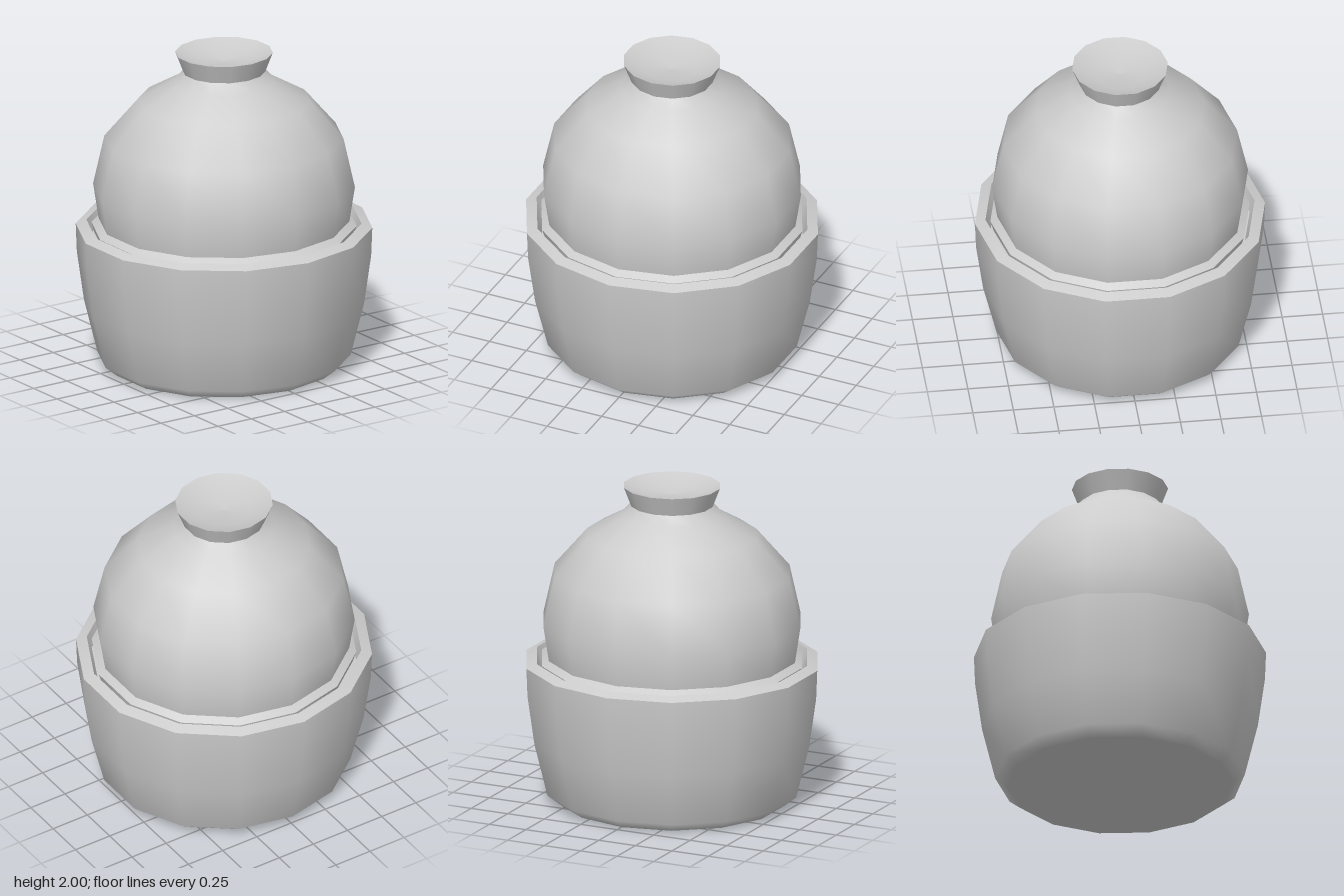
import * as THREE from 'three';

const SIDES = 14;
const Z_STRETCH = 1.026; // makes depth equal width for the 14-sided outline

export function createModel() {
  const model = new THREE.Group();
  model.name = 'liddedJar';
  const clay = new THREE.MeshStandardMaterial({ color: 0xcccccc });
  clay.name = 'plainGrey';

  // Smooth turned band; separate bands meet in a sharp edge
  function turned(parent, name, profile) {
    const points = profile.map(([r, y]) => new THREE.Vector2(r, y));
    const geometry = new THREE.LatheGeometry(points, SIDES, Math.PI / 2);
    geometry.scale(1, 1, Z_STRETCH);
    const mesh = new THREE.Mesh(geometry, clay);
    mesh.name = name;
    parent.add(mesh);
  }

  // Bowl: slightly hollow foot, swelling wall, bevelled rim and inner ledge
  const bowl = new THREE.Group();
  bowl.name = 'bowl';
  turned(bowl, 'bowlWall', [
    [0, 0.03], [0.3, 0.025], [0.69, 0], [0.765, 0.06],
    [0.845, 0.39], [0.888, 0.7], [0.895, 0.88],
  ]);
  turned(bowl, 'bowlRim', [[0.895, 0.88], [0.83, 0.905]]);
  turned(bowl, 'bowlInnerWall', [[0.83, 0.905], [0.8, 0.82]]);
  turned(bowl, 'bowlLedge', [[0.8, 0.82], [0.7, 0.82]]);

  // Lid: small flange, dome and flared knob with a dished top
  const lid = new THREE.Group();
  lid.name = 'lid';
  turned(lid, 'lidSkirt', [[0.78, 0.82], [0.8, 0.89]]);
  turned(lid, 'lidFlange', [[0.8, 0.89], [0.757, 0.92]]);
  turned(lid, 'lidDome', [
    [0.757, 0.92], [0.79, 1.14], [0.722, 1.45],
    [0.52, 1.69], [0.305, 1.815], [0.25, 1.88],
  ]);
  turned(lid, 'knobSide', [[0.25, 1.88], [0.295, 2]]);
  turned(lid, 'knobDish', [[0.295, 2], [0.17, 1.955], [0, 1.94]]);

  model.add(bowl, lid);
  return model;
}
